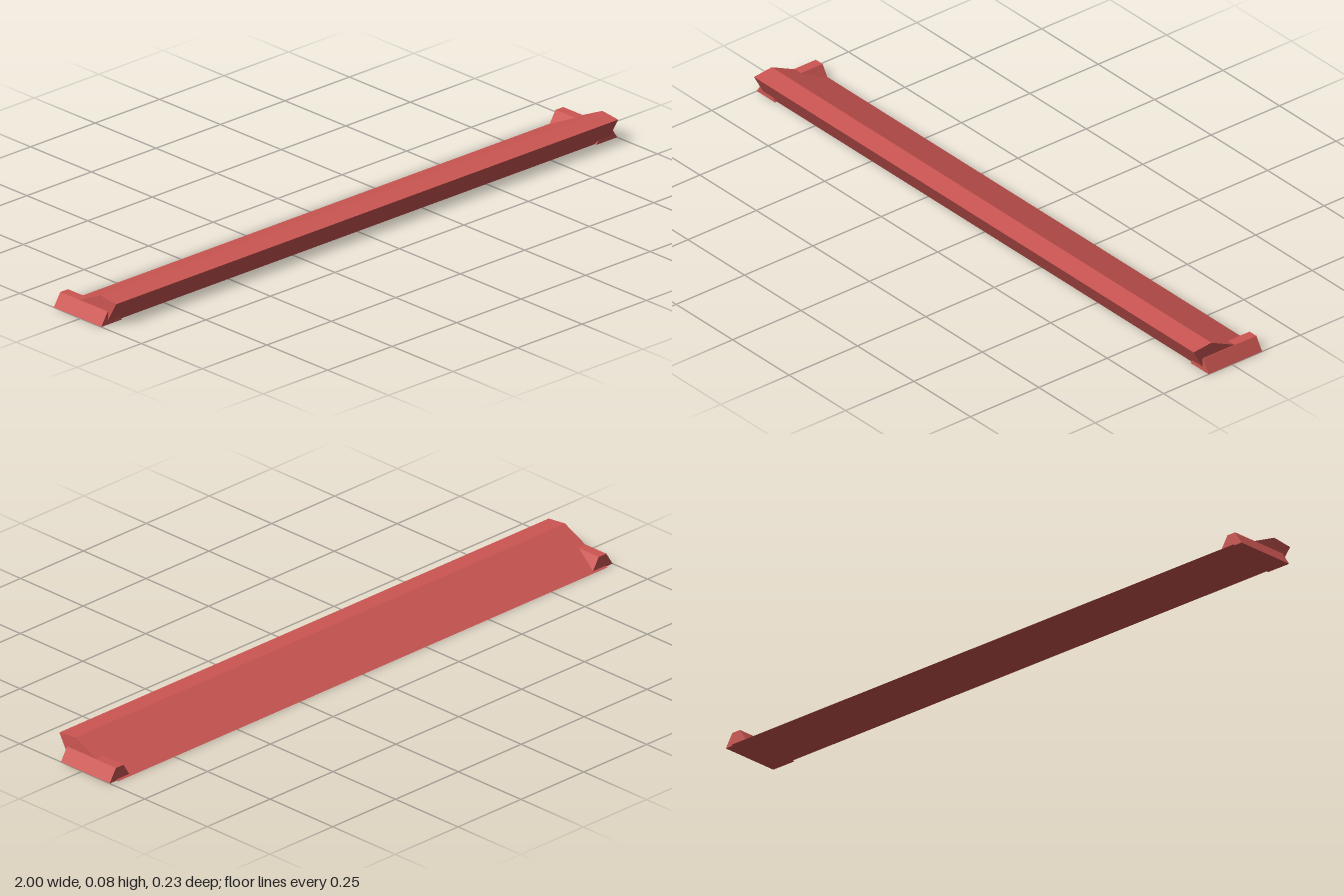
import * as THREE from 'three';

// Straight prism from a 2D outline, extruded along z between two depths
function prism(points, from, to) {
  const shape = new THREE.Shape(points.map(([x, y]) => new THREE.Vector2(x, y)));
  const geometry = new THREE.ExtrudeGeometry(shape, { depth: to - from, bevelEnabled: false });
  return geometry.translate(0, 0, from);
}

export function createModel() {
  const group = new THREE.Group();
  group.name = 'ridgeBeam';
  const red = new THREE.MeshStandardMaterial({ color: 0xcc5652, flatShading: true });
  red.name = 'red';

  // Long sloping beam: outline given as (z, y), turned to run along x
  const profile = [[-0.117, 0], [0.078, 0], [0.118, 0.072], [0.053, 0.079]];
  const beam = new THREE.Mesh(prism(profile, -0.973, 0.973).rotateY(-Math.PI / 2), red);
  beam.name = 'slopingBeam';
  group.add(beam);

  // Tapered cross rails at both ends
  const rail = [[-0.04, 0], [0.04, 0], [0.015, 0.04], [-0.015, 0.04]];
  for (const side of [-1, 1]) {
    const end = new THREE.Mesh(prism(rail, -0.11, 0.085), red);
    end.position.x = side * 0.96;
    end.name = side > 0 ? 'leftEndRail' : 'rightEndRail';
    group.add(end);
  }
  return group;
}
